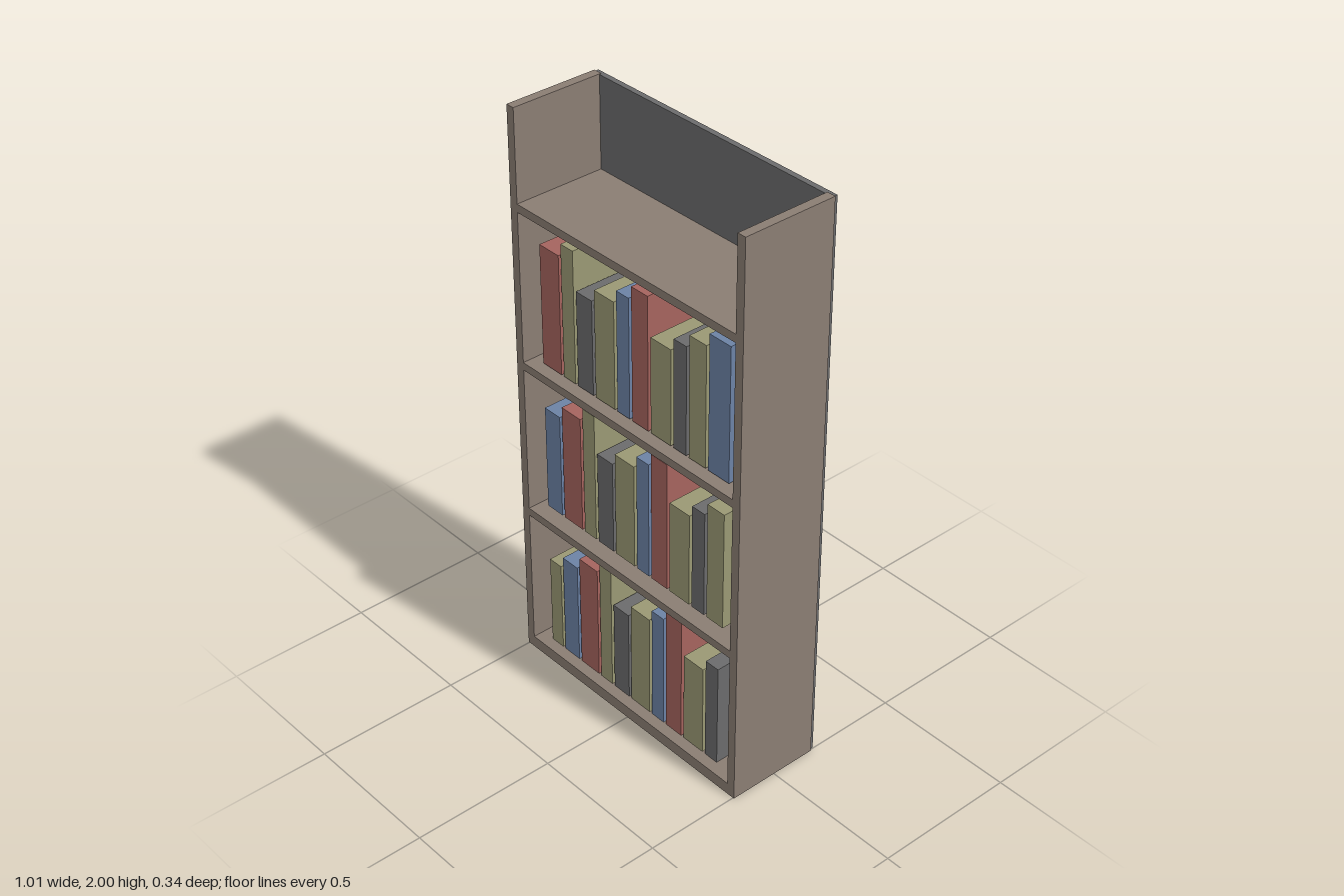
import * as THREE from 'three';

const material = (name, color) => {
  const m = new THREE.MeshStandardMaterial({ color });
  m.name = name;
  return m;
};

export function createModel() {
  const wood = material('wood', 0x8a7d73);
  const grey = material('grey', 0x6b6b6c);
  const red = material('red cover', 0xa5645e);
  const blue = material('blue cover', 0x6c82a5);
  const olive = material('olive cover', 0x9a9874);

  const model = new THREE.Group();
  model.name = 'bookcase';

  // Box given by its minimum and maximum corners
  const box = (parent, name, mat, [x0, y0, z0], [x1, y1, z1]) => {
    const mesh = new THREE.Mesh(new THREE.BoxGeometry(x1 - x0, y1 - y0, z1 - z0), mat);
    mesh.position.set((x0 + x1) / 2, (y0 + y1) / 2, (z0 + z1) / 2);
    mesh.name = name;
    parent.add(mesh);
  };

  // Case: two sides and a back panel that stands a little behind them
  box(model, 'leftSide', wood, [0.473, 0, -0.16], [0.504, 2, 0.17]);
  box(model, 'rightSide', wood, [-0.504, 0, -0.16], [-0.473, 2, 0.17]);
  box(model, 'backPanel', grey, [-0.5, 0.003, -0.172], [0.5, 1.998, -0.153]);

  // Shelves, the lowest one forming the base
  [[0, 0.042], [0.544, 0.572], [1.1, 1.128], [1.656, 1.684]].forEach(([y0, y1], i) =>
    box(model, i ? 'shelf' : 'baseShelf', wood, [-0.473, y0, -0.153], [0.473, y1, 0.17]));

  // Books: width, height and cover repeat in cycles, shifted by one on each row
  const widths = [0.055, 0.0715, 0.088];
  const heights = [0.333, 0.376, 0.42, 0.465];
  const covers = [olive, blue, red, olive, grey];
  [0.044, 0.593, 1.135].forEach((base, row) => {
    const books = new THREE.Group();
    books.name = 'bookRow';
    model.add(books);
    let x = -0.422;
    for (let i = row; i < row + 10; i++) {
      const w = widths[i % 3];
      box(books, 'book', covers[i % 5], [x, base, -0.105], [x + w, base + heights[i % 4], 0.132]);
      x += w + 0.0118;
    }
  });

  return model;
}
